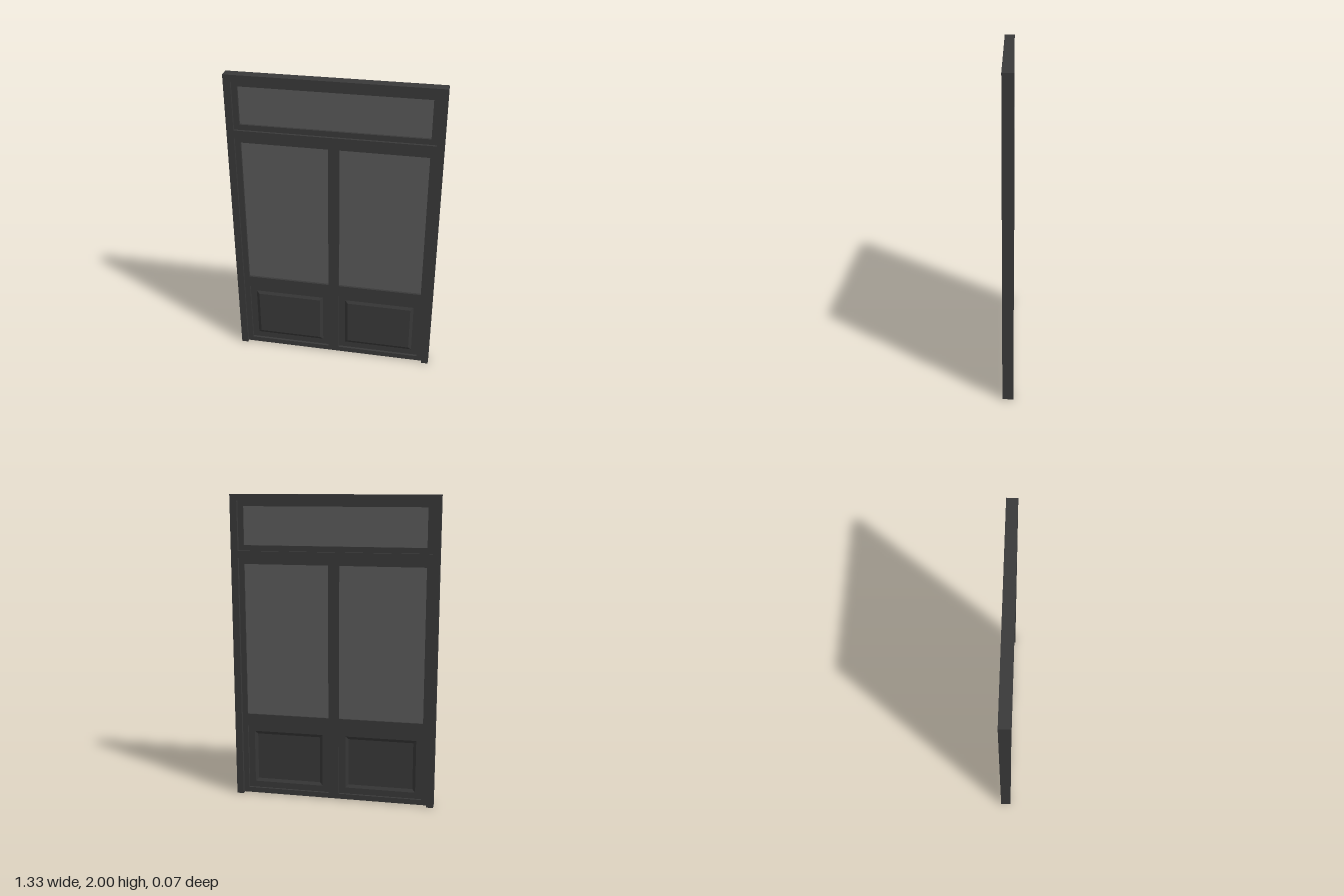
import * as THREE from 'three';

const frameMat = new THREE.MeshStandardMaterial({ color: 0x3a3a3a });
const glassMat = new THREE.MeshStandardMaterial({ color: 0x5c5c5c });
const panelMat = new THREE.MeshStandardMaterial({ color: 0x3a3a3a, side: THREE.DoubleSide, flatShading: true });

// Rectangle outline from [x0, y0, x1, y1]
function trace(path, [x0, y0, x1, y1]) {
  path.moveTo(x0, y0);
  path.lineTo(x1, y0);
  path.lineTo(x1, y1);
  path.lineTo(x0, y1);
  path.closePath();
  return path;
}

// Flat slab with rectangular openings, between z0 and z1
function slab(name, outer, holes, z0, z1, mat) {
  const shape = trace(new THREE.Shape(), outer);
  for (const h of holes) shape.holes.push(trace(new THREE.Path(), h));
  const geo = new THREE.ExtrudeGeometry(shape, { depth: z1 - z0, bevelEnabled: false });
  geo.translate(0, 0, z0);
  const mesh = new THREE.Mesh(geo, mat);
  mesh.name = name;
  return mesh;
}

// Pressed panel: nested rectangles [inset, z] joined by strips, then capped
function pressedPanel(name, [x0, y0, x1, y1], rings) {
  const pos = [], index = [];
  rings.forEach(([i, z], r) => {
    pos.push(x0 + i, y0 + i, z, x1 - i, y0 + i, z, x1 - i, y1 - i, z, x0 + i, y1 - i, z);
    if (r === 0) return;
    for (let k = 0; k < 4; k++) {
      const a = (r - 1) * 4 + k, b = (r - 1) * 4 + (k + 1) % 4;
      index.push(a, b, b + 4, a, b + 4, a + 4);
    }
  });
  const c = (rings.length - 1) * 4;
  index.push(c, c + 1, c + 2, c, c + 2, c + 3);
  const geo = new THREE.BufferGeometry();
  geo.setAttribute('position', new THREE.Float32BufferAttribute(pos, 3));
  geo.setIndex(index);
  geo.computeVertexNormals();
  const mesh = new THREE.Mesh(geo, panelMat);
  mesh.name = name;
  return mesh;
}

export function createModel() {
  const model = new THREE.Group();
  model.name = 'doorWithTransom';
  const back = -0.012, front = 0.018;

  // Outer frame: two jambs, head and transom bar
  const frame = new THREE.Group();
  frame.name = 'outerFrame';
  const w = 0.665, jamb = 0.62, d = 0.034;
  for (const [name, rect] of [
    ['leftJamb', [jamb, 0, w, 2]],
    ['rightJamb', [-w, 0, -jamb, 2]],
    ['head', [-jamb, 1.96, jamb, 2]],
    ['transomBar', [-jamb, 1.6, jamb, 1.645]],
  ]) frame.add(slab(name, rect, [], -d, d, frameMat));
  model.add(frame);

  // Transom window
  const transom = new THREE.Group();
  transom.name = 'transomWindow';
  const light = [-0.585, 1.68, 0.585, 1.925];
  transom.add(slab('transomSash', [-jamb, 1.645, jamb, 1.96], [light], back, front, frameMat));
  transom.add(slab('transomGlass', light, [], -0.003, 0.003, glassMat));
  model.add(transom);

  // Door leaf with two glazed lights above two pressed panels
  const door = new THREE.Group();
  door.name = 'door';
  const columns = [['right', -0.585, -0.035], ['left', 0.035, 0.585]];
  const holes = columns.flatMap(([, a, b]) => [[a, 0.56, b, 1.56], [a, 0.04, b, 0.48]]);
  door.add(slab('doorLeaf', [-jamb, 0.005, jamb, 1.6], holes, back, front, frameMat));
  columns.forEach(([side, a, b]) => {
    door.add(slab(side + 'Glass', [a, 0.56, b, 1.56], [], -0.003, 0.003, glassMat));
    door.add(pressedPanel(side + 'Panel', [a, 0.04, b, 0.48],
      [[0, 0.002], [0.042, 0.002], [0.062, 0.012]]));
  });
  model.add(door);
  return model;
}
